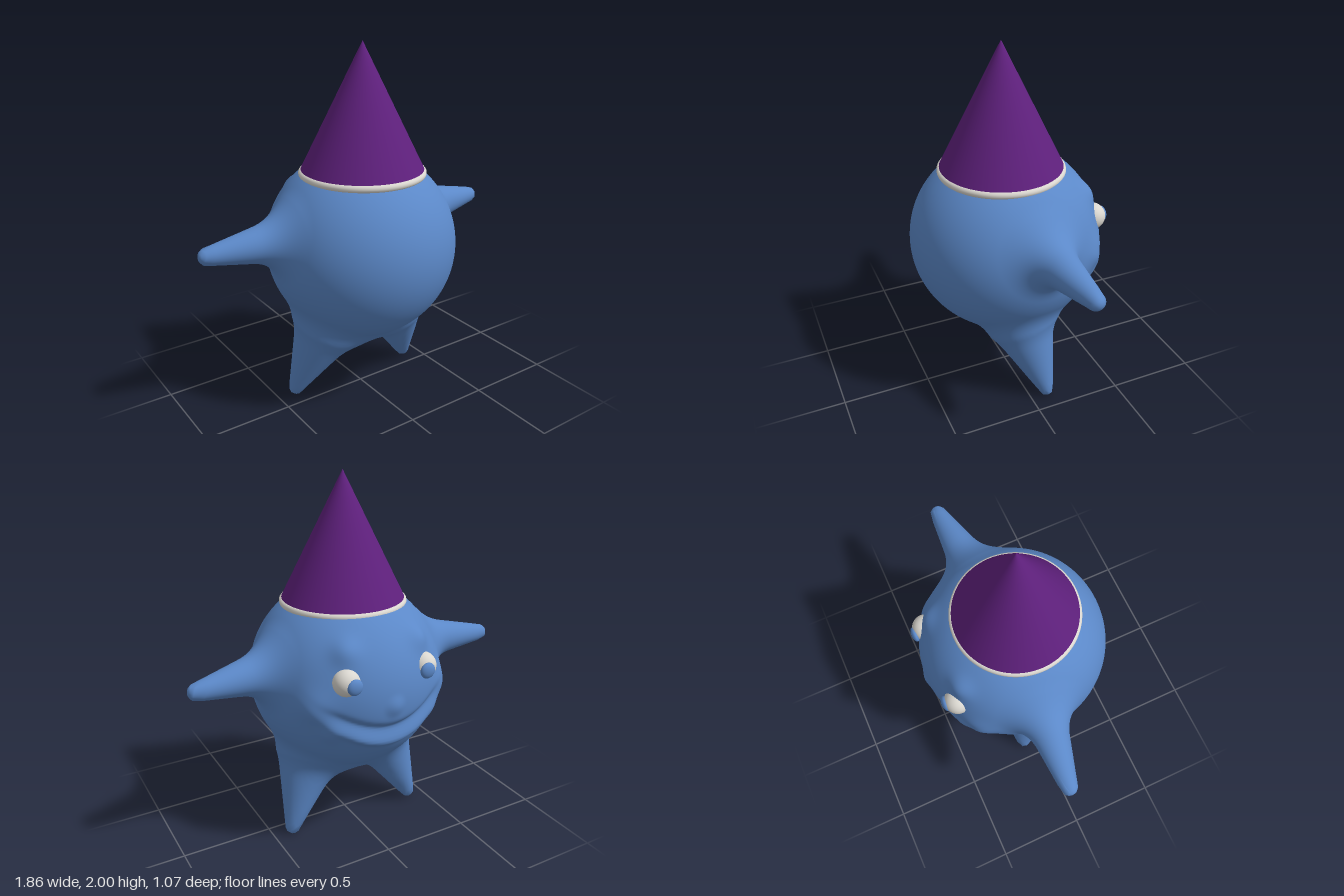
import * as THREE from 'three';
import { mergeVertices } from 'three/addons/utils/BufferGeometryUtils.js';

const V = (x, y, z) => new THREE.Vector3(x, y, z);

// Limbs as tapered capsules, mirrored through |x|; k is the blend width
const limbs = [
  { a: V(0.42, 1.01, -0.03), b: V(0.88, 0.992, -0.08), ra: 0.135, rb: 0.048, k: 0.13 }, // arm
  { a: V(0.24, 0.42, -0.01), b: V(0.39, 0.048, -0.095), ra: 0.18, rb: 0.045, k: 0.13 }, // leg
];
// Soft swellings of the face: position, height, width
const bumps = [
  [V(0.21, 1.18, -0.39), 0.025, 0.07], // brow
  [V(0.37, 0.9, -0.36), 0.025, 0.09], // cheek
  [V(0.3, 0.76, -0.4), 0.015, 0.06], // mouth corner
];

function smoothMin(a, b, k) {
  const h = Math.max(k - Math.abs(a - b), 0) / k;
  return Math.min(a, b) - h * h * k * 0.25;
}

function taperedCapsule(p, { a, b, ra, rb }) {
  const ab = b.clone().sub(a);
  const t = THREE.MathUtils.clamp(p.clone().sub(a).dot(ab) / ab.lengthSq(), 0, 1);
  return p.distanceTo(a.clone().addScaledVector(ab, t)) - (ra + (rb - ra) * t);
}

// Distance to the blended body: belly, lower belly, limbs and nose
function bodyDistance(p) {
  const q = V(Math.abs(p.x), p.y, p.z);
  let d = q.distanceTo(V(0, 0.9, 0)) - 0.528;
  d = smoothMin(d, q.distanceTo(V(0, 0.53, 0)) - 0.23, 0.08);
  for (const limb of limbs) d = smoothMin(d, taperedCapsule(q, limb), limb.k);
  return smoothMin(d, q.distanceTo(V(0, 0.89, -0.487)) - 0.043, 0.04);
}

// Outward relief of the face: smile lip and crease, brows and cheeks
function faceRelief(p) {
  if (p.z > -0.1) return 0;
  const q = V(Math.abs(p.x), p.y, p.z);
  const bell = (v, w) => Math.exp(-((v / w) ** 2));
  const above = q.y - (0.69 + 1.2 * q.x * q.x);
  const fade = Math.exp(-((q.x / 0.3) ** 4));
  let h = fade * (0.025 * bell(above, 0.03) - 0.022 * bell(above - 0.065, 0.03));
  for (const [c, height, width] of bumps) h += height * bell(q.distanceTo(c), width);
  return h;
}

// A sphere whose poles lie in the arms, pushed out onto the blended surface
function bodyGeometry() {
  let geo = new THREE.SphereGeometry(1, 256, 176);
  geo.deleteAttribute('uv');
  geo.deleteAttribute('normal');
  geo.rotateZ(-Math.PI / 2);
  geo = mergeVertices(geo, 1e-5);
  const pos = geo.attributes.position;
  const centre = V(0, 1, -0.07);
  for (let i = 0; i < pos.count; i++) {
    const dir = V().fromBufferAttribute(pos, i).normalize();
    const p = V();
    let t = 0.2;
    for (let n = 0; n < 90; n++) {
      const d = bodyDistance(p.copy(centre).addScaledVector(dir, t));
      t -= d * 0.9;
      if (Math.abs(d) < 1e-5) break;
    }
    p.copy(centre).addScaledVector(dir, t);
    p.addScaledVector(dir, faceRelief(p));
    pos.setXYZ(i, p.x, p.y, p.z);
  }
  geo.computeVertexNormals();
  return geo;
}

export function createModel() {
  const model = new THREE.Group();
  model.name = 'partyCreature';
  const material = (name, color) => Object.assign(new THREE.MeshStandardMaterial({ color }), { name });
  const blue = material('skinBlue', 0x5b88c8);
  const purple = material('hatPurple', 0x5f207d);
  const white = material('offWhite', 0xdad7d0);

  const add = (name, geo, mat, x, y, z) => {
    const mesh = new THREE.Mesh(geo, mat);
    mesh.name = name;
    mesh.position.set(x, y, z);
    model.add(mesh);
    return mesh;
  };

  add('body', bodyGeometry(), blue, 0, 0, 0);

  // Eyes, looking towards the back of the frame
  for (const [side, s] of [['left', 1], ['right', -1]]) {
    add(side + 'Eye', new THREE.SphereGeometry(0.074, 32, 24), white, s * 0.228, 1.035, -0.425);
    const iris = add(side + 'Iris', new THREE.SphereGeometry(0.043, 32, 20), blue, s * 0.216, 1.03, -0.492);
    iris.scale.z = 0.5;
  }

  // Pointed hat with a rolled brim
  add('hat', new THREE.ConeGeometry(0.338, 0.68, 96), purple, 0, 1.66, 0.017);
  const brim = add('hatBrim', new THREE.TorusGeometry(0.325, 0.021, 16, 96), white, 0, 1.312, 0.017);
  brim.rotation.x = Math.PI / 2;

  return model;
}
